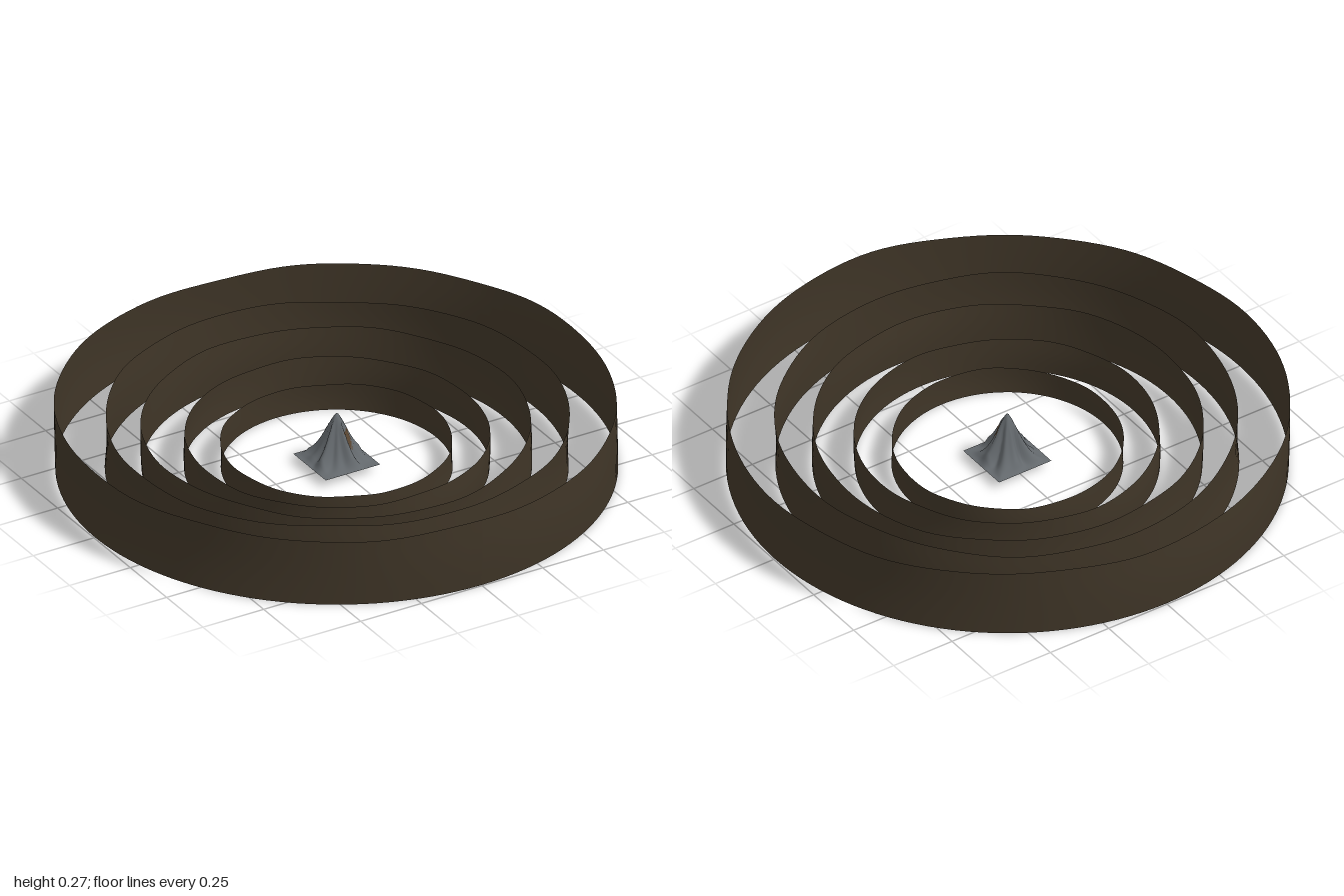
import * as THREE from 'three';

const earth = new THREE.MeshStandardMaterial({ color: 0x3f3527, side: THREE.DoubleSide });
earth.name = 'darkEarth';
const rock = new THREE.MeshStandardMaterial({ color: 0x63686c, side: THREE.DoubleSide });
rock.name = 'greyRock';
const cave = new THREE.MeshStandardMaterial({ color: 0x5a4632, side: THREE.DoubleSide });
cave.name = 'brownCave';

// Thin circular wall: uneven rim, height in proportion to radius, slight lean
function ringWall(radius, seed) {
  const geo = new THREE.CylinderGeometry(1, 1, 1, 128, 6, true);
  const p = geo.attributes.position;
  for (let i = 0; i < p.count; i++) {
    const a = Math.atan2(p.getX(i), p.getZ(i));
    const t = p.getY(i) + 0.5;
    const rim = 0.26 + 0.005 * Math.sin(3 * a + seed) + 0.004 * Math.sin(7 * a + 2 * seed)
      + 0.002 * Math.sin(13 * a + seed * 3);
    const bulge = 0.006 * Math.sin(t * Math.PI) * Math.sin(2 * a + seed)
      + 0.005 * t * Math.sin(3 * a + 1.7 * seed);
    const r = radius * (1 + bulge);
    p.setXYZ(i, r * Math.sin(a), t * rim * radius, r * Math.cos(a));
  }
  geo.computeVertexNormals();
  return new THREE.Mesh(geo, earth);
}

// Height of the craggy peak above its square footing
function peakHeight(x, z, half) {
  const r = Math.hypot(x, z), a = Math.atan2(z, x);
  const ridge = 1 + Math.min(1, r / 0.03) * (0.16 * Math.sin(5 * a + 0.6) + 0.1 * Math.sin(9 * a + 2));
  const edge = Math.min(1, (half - Math.max(Math.abs(x), Math.abs(z))) / 0.025);
  return 0.188 * Math.exp(-Math.pow(r / (0.055 * ridge), 1.6)) * Math.max(0, edge);
}

function mountain() {
  const group = new THREE.Group();
  const half = 0.112;
  const geo = new THREE.PlaneGeometry(2 * half, 2 * half, 36, 36).rotateX(-Math.PI / 2);
  const p = geo.attributes.position;
  for (let i = 0; i < p.count; i++) p.setY(i, peakHeight(p.getX(i), p.getZ(i), half));
  geo.computeVertexNormals();

  // Faces of the triangular cave mouth on the +x +z slope take the brown colour
  const idx = geo.index.array, stone = [], mouth = [];
  for (let i = 0; i < idx.length; i += 3) {
    const f = [idx[i], idx[i + 1], idx[i + 2]];
    const x = f.reduce((s, k) => s + p.getX(k), 0) / 3;
    const z = f.reduce((s, k) => s + p.getZ(k), 0) / 3;
    const out = (x + z) / Math.SQRT2, across = Math.abs(x - z) / Math.SQRT2;
    const inside = out > 0.03 && out < 0.058 && across < (0.058 - out) * 0.95;
    (inside ? mouth : stone).push(...f);
  }
  geo.setIndex([...stone, ...mouth]);
  geo.addGroup(0, stone.length, 0);
  geo.addGroup(stone.length, mouth.length, 1);
  const slopes = new THREE.Mesh(geo, [rock, cave]);
  slopes.name = 'mountainSlopes';

  // Brown core inside the hollow peak, seen from beneath
  const core = new THREE.Mesh(new THREE.CylinderGeometry(0.022, 0.052, 0.06, 10), cave);
  core.position.y = 0.031;
  core.name = 'caveCore';
  group.add(slopes, core);
  group.position.y = 0.03;
  return group;
}

export function createModel() {
  const model = new THREE.Group();
  model.name = 'ringedMountain';
  [0.995, 0.82, 0.69, 0.54, 0.41].forEach((radius, i) => {
    const wall = ringWall(radius, 1 + i * 1.9);
    wall.name = 'ringWall' + (i + 1);
    model.add(wall);
  });
  const peak = mountain();
  peak.name = 'centralMountain';
  model.add(peak);
  return model;
}
